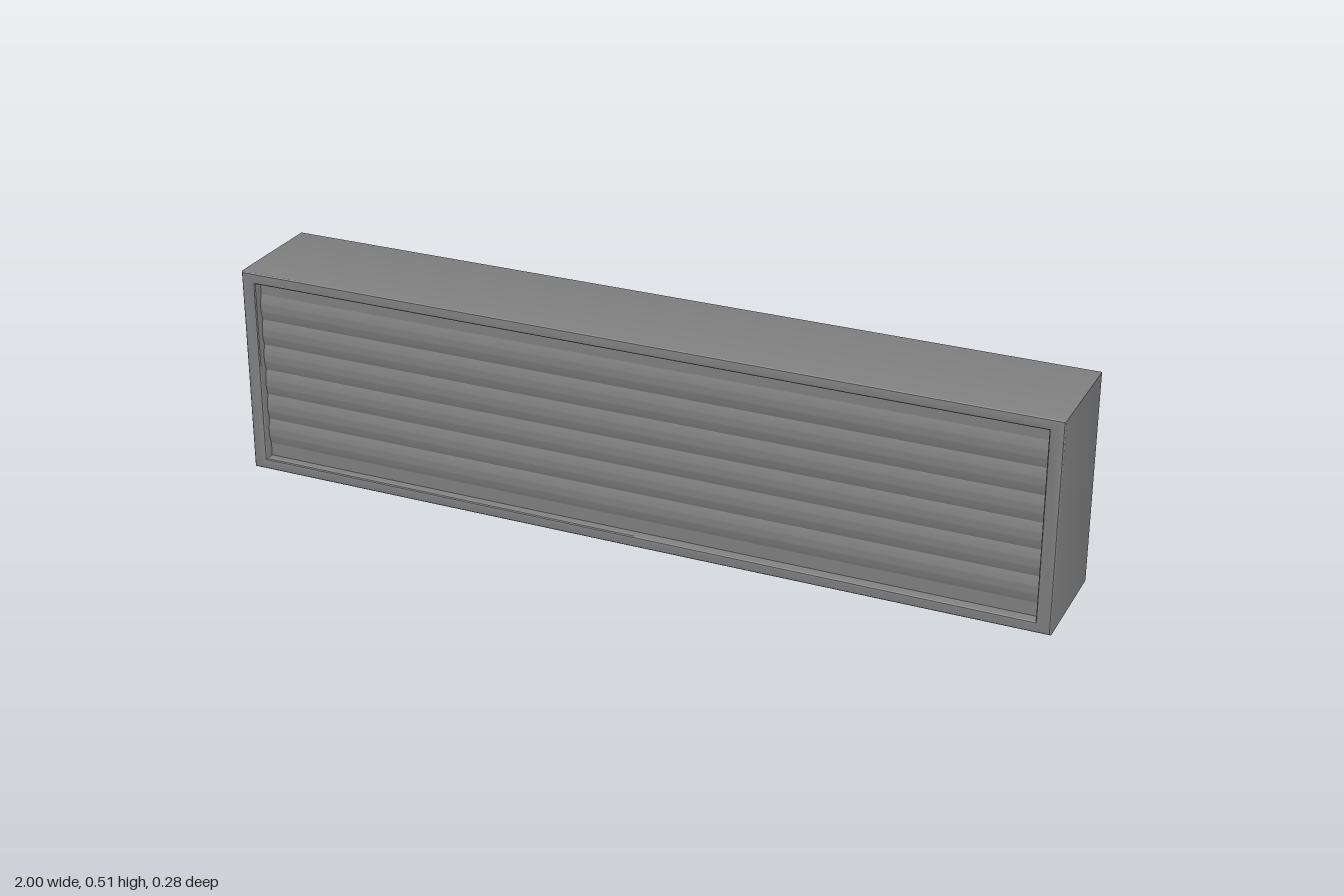
import * as THREE from 'three';
import { toCreasedNormals } from 'three/addons/utils/BufferGeometryUtils.js';

const W = 1, H = 0.256, D = 0.139;   // half sizes of the casing
const R = 0.006;                     // edge rounding
const RIM_X = 0.03, RIM_Y = 0.022;   // widths of the front border
const FLOOR = 0.1;                   // z of the recess floor
const SLAT_Z = 0.115;                // z of the seams between slats
const material = new THREE.MeshStandardMaterial({ color: 0x808080 });

// Joins rectangular rings [inset x, inset y, z] from back to front and closes both ends
function loftRectangles(rings) {
  const pos = [], index = [];
  rings.forEach(([insetX, insetY, z]) => {
    const x = W - insetX, y = H - insetY;
    pos.push(-x, -y, z, x, -y, z, x, y, z, -x, y, z);
  });
  for (let r = 0; r < rings.length - 1; r++) {
    for (let k = 0; k < 4; k++) {
      const a = r * 4 + k, b = r * 4 + (k + 1) % 4;
      index.push(a, b, b + 4, a, b + 4, a + 4);
    }
  }
  const e = (rings.length - 1) * 4;
  index.push(0, 2, 1, 0, 3, 2, e, e + 1, e + 2, e, e + 2, e + 3);
  const g = new THREE.BufferGeometry();
  g.setAttribute('position', new THREE.Float32BufferAttribute(pos, 3));
  g.setIndex(index);
  return toCreasedNormals(g, 0.4);
}

// Quarter round made of four rings
function round(insetX, insetY, z, from, to) {
  return [0, 1, 2, 3].map((i) => {
    const a = THREE.MathUtils.lerp(from, to, i / 3), c = R * Math.cos(a);
    return [insetX - c, insetY - c, z + R * Math.sin(a)];
  });
}

// Slat with a gently bulging front, running along x
function slatGeometry(pitch, length) {
  const bulge = 0.006, n = 10;
  const s = new THREE.Shape();
  s.moveTo(-0.012, pitch / 2);
  s.lineTo(-0.012, -pitch / 2);
  for (let i = 0; i <= n; i++) {
    const t = i / n;
    s.lineTo(bulge * Math.sin(Math.PI * t), (t - 0.5) * pitch);
  }
  s.closePath();
  const g = new THREE.ExtrudeGeometry(s, { depth: length, bevelEnabled: false });
  g.translate(0, 0, -length / 2);
  g.rotateY(-Math.PI / 2);
  return toCreasedNormals(g, 0.3);
}

export function createModel() {
  const group = new THREE.Group();
  const add = (name, geometry, y, z) => {
    const mesh = new THREE.Mesh(geometry, material);
    mesh.name = name;
    mesh.position.set(0, y, z);
    group.add(mesh);
  };

  // Casing: closed back, rounded edges, recessed front
  const q = Math.PI / 2;
  add('casing', loftRectangles([
    ...round(R, R, -D + R, -q, 0),
    ...round(R, R, D - R, 0, q),
    ...round(RIM_X, RIM_Y, D - R, q, Math.PI),
    [RIM_X + R, RIM_Y + R, FLOOR],
  ]), H, 0);

  // Six slats between two plain strips
  const pitch = 0.065, count = 6, length = 2 * (W - RIM_X - R);
  const slat = slatGeometry(pitch, length);
  for (let i = 0; i < count; i++) {
    add('slat', slat, H + (i - (count - 1) / 2) * pitch, SLAT_Z);
  }
  const inner = H - RIM_Y - R, stripH = inner - count * pitch / 2, stripD = 0.02;
  for (const side of [-1, 1]) {
    add(side < 0 ? 'bottomStrip' : 'topStrip', new THREE.BoxGeometry(length, stripH, stripD),
      H + side * (inner - stripH / 2), SLAT_Z - stripD / 2);
  }
  return group;
}
